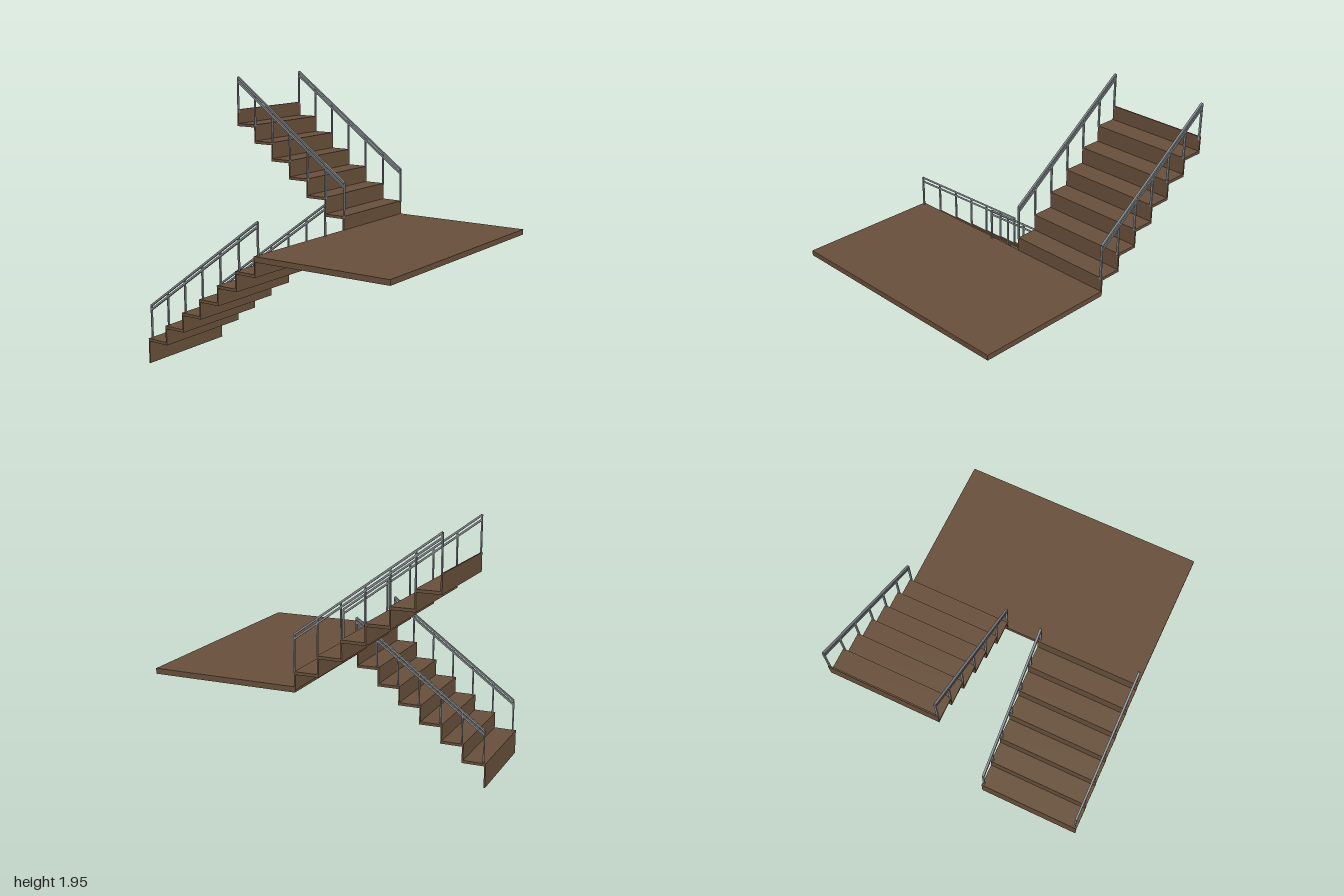
import * as THREE from 'three';

const RUN = 0.16, RISE = 0.12, STEPS = 6, TREAD = 0.02, RISER = 0.01;
const INNER = 0.118, OUTER = 0.884;

export function createModel() {
  const wood = new THREE.MeshStandardMaterial({ color: 0x674f3a });
  wood.name = 'brown wood';
  const steel = new THREE.MeshStandardMaterial({ color: 0x83888d });
  steel.name = 'grey steel';

  const model = new THREE.Group();
  model.name = 'staircase';

  // Box given by its limits on each axis
  function slab(parent, name, x0, x1, y0, y1, z0, z1) {
    const mesh = new THREE.Mesh(new THREE.BoxGeometry(x1 - x0, y1 - y0, z1 - z0), wood);
    mesh.position.set((x0 + x1) / 2, (y0 + y1) / 2, (z0 + z1) / 2);
    mesh.name = name;
    parent.add(mesh);
  }

  // Flat bar between two points, its wide side along x
  function bar(parent, name, a, b, width, thickness) {
    const dir = b.clone().sub(a);
    const mesh = new THREE.Mesh(new THREE.BoxGeometry(width, dir.length(), thickness), steel);
    mesh.position.copy(a).add(b).multiplyScalar(0.5);
    mesh.quaternion.setFromUnitVectors(new THREE.Vector3(0, 1, 0), dir.normalize());
    mesh.name = name;
    parent.add(mesh);
  }

  // Two sloping rails on posts; each post is [z, foot y, top y]
  function railing(parent, name, x, posts) {
    const group = new THREE.Group();
    group.name = name;
    for (const [z, foot, top] of posts) {
      bar(group, 'post', new THREE.Vector3(x, foot, z), new THREE.Vector3(x, top, z), 0.014, 0.009);
    }
    const first = posts[0], last = posts[posts.length - 1];
    for (const drop of [0, 0.03]) {
      bar(group, drop ? 'lowerRail' : 'handrail',
        new THREE.Vector3(x, first[2] - drop, first[0]),
        new THREE.Vector3(x, last[2] - drop, last[0]), 0.016, 0.013);
    }
    parent.add(group);
  }

  // Landing between the two flights
  slab(model, 'landing', -OUTER, OUTER, 0.862, 0.9, -0.035, 1);

  // Lower flight, climbing from the back to the landing
  const lower = new THREE.Group();
  lower.name = 'lowerFlight';
  for (let i = 0; i <= STEPS; i++) {
    const z = -1 + i * RUN + (i ? 0.005 : 0);
    const top = 0.18 + i * RISE;
    slab(lower, 'riser', -OUTER, -INNER, i ? top - RISE - TREAD : 0, top - TREAD, z, z + RISER);
    if (i < STEPS) slab(lower, 'tread', -OUTER, -INNER, top - TREAD, top, z, -1 + (i + 1) * RUN + 0.015);
  }
  model.add(lower);

  // Upper flight, climbing from the landing to the back
  const upper = new THREE.Group();
  upper.name = 'upperFlight';
  for (let i = 0; i <= STEPS; i++) {
    const z = i < STEPS ? -0.03 - i * RUN : -0.99;
    const top = 1.0 + i * RISE - (i === STEPS ? 0.015 : 0);
    slab(upper, 'riser', INNER, OUTER, i ? 0.98 + (i - 1) * RISE : 0.88, top, z - RISER, z);
    if (i < STEPS) slab(upper, 'tread', INNER, OUTER, top - TREAD, top, Math.max(z - RUN - RISER, -1), z - 0.001);
  }
  model.add(upper);

  // Railings on both sides of each flight
  const lowerPosts = [], upperPosts = [];
  for (let i = 0; i <= STEPS; i++) {
    const t = i / STEPS;
    lowerPosts.push([-0.98 + t * 0.965, 0.17 + i * RISE, 0.418 + t * 0.705]);
    upperPosts.push([-0.03 - t * 0.963, 0.99 + i * RISE - (i === STEPS ? 0.03 : 0), 1.24 + t * 0.705]);
  }
  railing(lower, 'lowerRightRailing', -0.864, lowerPosts);
  railing(lower, 'lowerLeftRailing', -0.13, lowerPosts);
  railing(upper, 'upperRightRailing', 0.122, upperPosts);
  railing(upper, 'upperLeftRailing', 0.874, upperPosts);

  return model;
}
